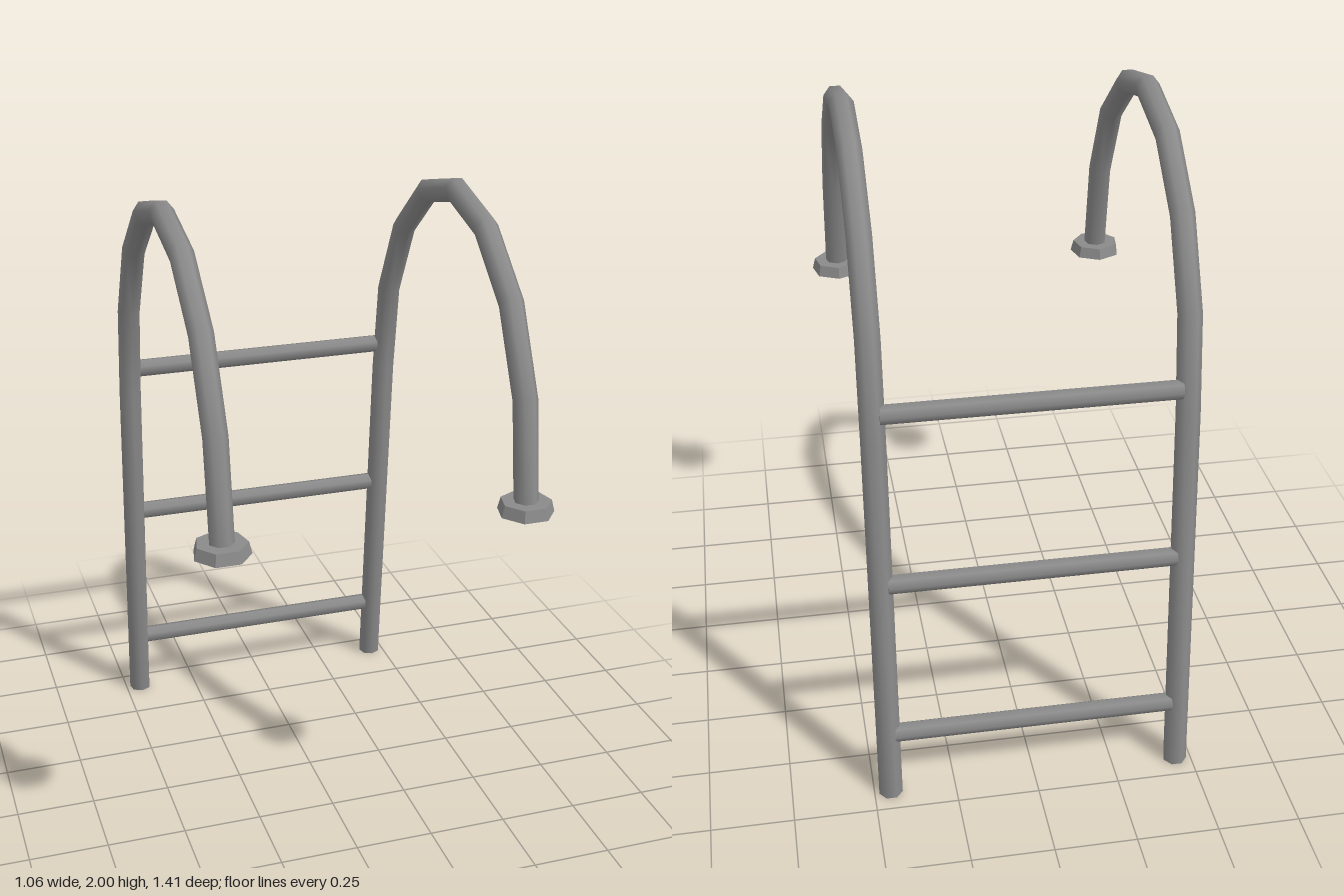
import * as THREE from 'three';
import { toCreasedNormals } from 'three/addons/utils/BufferGeometryUtils.js';

const SIDES = 7;
const RAIL_R = 0.037;
const RAIL_X = 0.45;

// Rail centre line as [z, y], from the front foot over the arch to the back foot
const PATH = [
  [0.633, 1.18], [0.586, 1.496], [0.457, 1.743], [0.257, 1.907], [0.028, 1.964],
  [-0.204, 1.907], [-0.401, 1.743], [-0.532, 1.497], [-0.575, 1.2], [-0.672, 0],
].map(([z, y]) => new THREE.Vector2(z, y));

// Seven-sided tube with mitred bends and ends cut level
function railGeometry() {
  const pos = [], index = [];
  const last = PATH.length - 1;
  const outward = (a, b) => {
    const t = b.clone().sub(a).normalize();
    return new THREE.Vector2(t.y, -t.x);
  };
  PATH.forEach((p, i) => {
    let n;
    if (i === 0) n = new THREE.Vector2(1, 0);
    else if (i === last) n = new THREE.Vector2(-1, 0);
    else {
      const before = outward(PATH[i - 1], p);
      n = before.clone().add(outward(p, PATH[i + 1])).normalize();
      n.divideScalar(n.dot(before));
    }
    for (let j = 0; j < SIDES; j++) {
      const a = ((j + 0.5) * 2 * Math.PI) / SIDES;
      const c = RAIL_R * Math.cos(a);
      pos.push(RAIL_R * Math.sin(a), p.y + n.y * c, p.x + n.x * c);
      if (i < last) {
        const k = (j + 1) % SIDES;
        const A = i * SIDES + j, B = A + SIDES, C = i * SIDES + k, D = C + SIDES;
        index.push(A, C, B, C, D, B);
      }
    }
  });
  const g = new THREE.BufferGeometry();
  g.setAttribute('position', new THREE.Float32BufferAttribute(pos, 3));
  g.setIndex(index);
  g.computeVertexNormals();
  return g;
}

export function createModel() {
  const root = new THREE.Group();
  root.name = 'poolLadder';
  const steel = new THREE.MeshStandardMaterial({ color: 0x8a8a8a });
  steel.name = 'greySteel';

  const add = (parent, name, geometry, x, y, z) => {
    const m = new THREE.Mesh(geometry, steel);
    m.name = name;
    m.position.set(x, y, z);
    parent.add(m);
    return m;
  };

  const rail = railGeometry();
  const frontCap = new THREE.CircleGeometry(RAIL_R, SIDES, -Math.PI / 2).rotateX(Math.PI / 2);
  const backCap = new THREE.CircleGeometry(RAIL_R, SIDES, Math.PI / 2).rotateX(Math.PI / 2);

  // Flared collar, slightly hollow underneath
  const collarProfile = [[0.03, 0.02], [0.05, 0.02], [0.084, 0], [0.075, 0.036], [0.03, 0.036]]
    .map(([r, y]) => new THREE.Vector2(r, y));
  const collar = toCreasedNormals(new THREE.LatheGeometry(collarProfile, SIDES, Math.PI), 0.3);

  // Handrails with their collars
  for (const [side, s] of [['left', 1], ['right', -1]]) {
    const g = new THREE.Group();
    g.name = side + 'Handrail';
    g.position.x = s * RAIL_X;
    root.add(g);
    add(g, side + 'Rail', rail, 0, 0, 0);
    add(g, side + 'FrontEnd', frontCap, 0, PATH[0].y, PATH[0].x);
    add(g, side + 'BackEnd', backCap, 0, 0, PATH[PATH.length - 1].x);
    add(g, side + 'Collar', collar, 0, 1.17, 0.63);
  }

  // Rungs follow the slope of the back legs
  const rung = new THREE.CylinderGeometry(0.029, 0.029, 2 * RAIL_X - 0.04, SIDES)
    .rotateZ(Math.PI / 2).rotateX(Math.PI / SIDES);
  [0.22, 0.74, 1.283].forEach((y, i) => {
    add(root, 'rung' + (i + 1), rung, 0, y, -0.677 + 0.079 * y);
  });

  return root;
}
